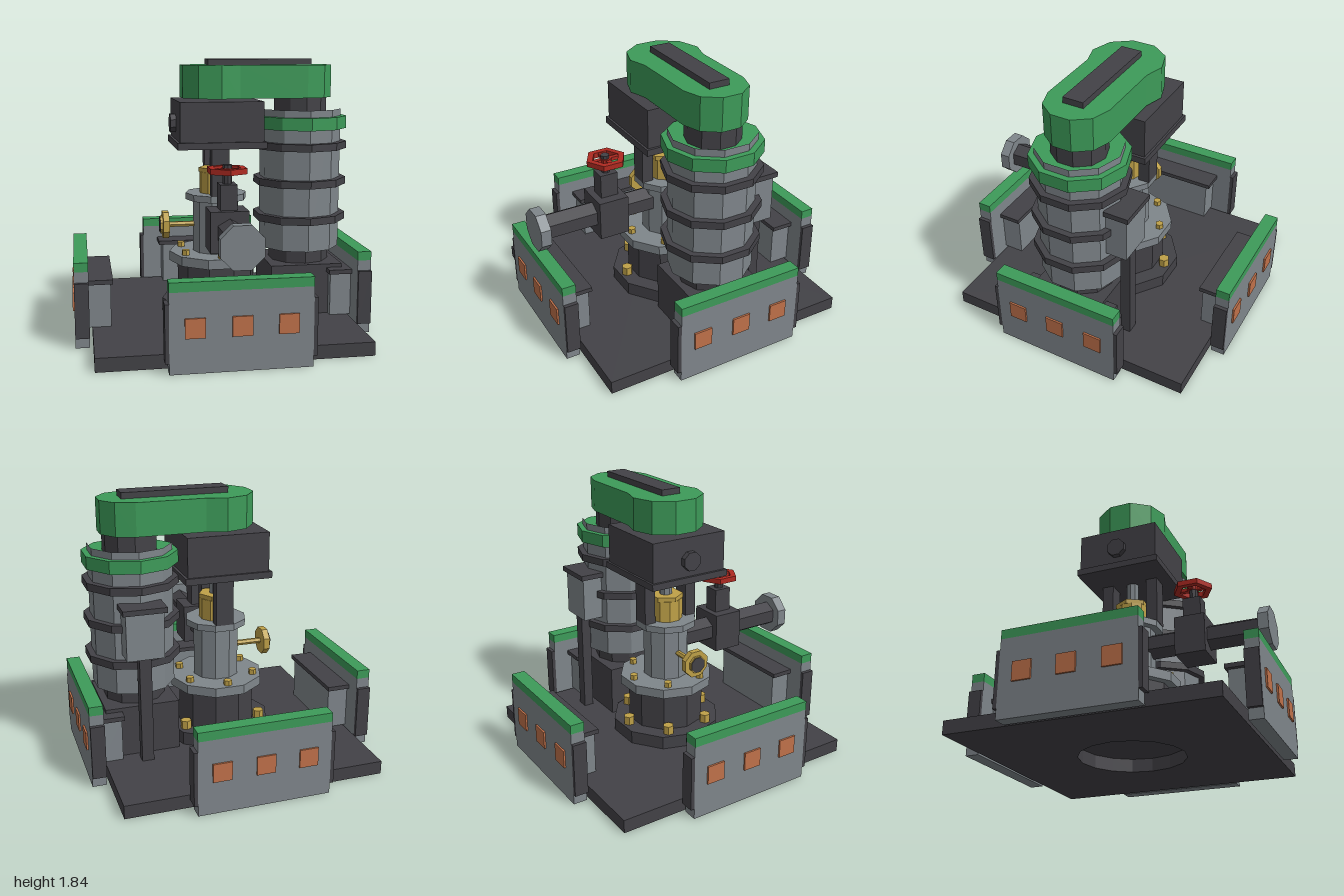
import * as THREE from 'three';

const mat = (name, color) => {
  const m = new THREE.MeshStandardMaterial({ color, flatShading: true });
  m.name = name;
  return m;
};

export function createModel() {
  const dark = mat('dark steel', 0x434247);
  const grey = mat('grey steel', 0x7f868b);
  const green = mat('green paint', 0x3d9b59);
  const brass = mat('brass', 0xbfa148);
  const red = mat('red paint', 0xae2a21);
  const orange = mat('orange panel', 0xc0714a);

  const root = new THREE.Group();
  root.name = 'pumpStation';

  const add = (parent, name, geo, material, x = 0, y = 0, z = 0) => {
    const mesh = new THREE.Mesh(geo, material);
    mesh.name = name;
    mesh.position.set(x, y, z);
    parent.add(mesh);
    return mesh;
  };
  // box given by its limits on each axis
  const box = (parent, name, material, [x0, x1], [y0, y1], [z0, z1]) =>
    add(parent, name, new THREE.BoxGeometry(x1 - x0, y1 - y0, z1 - z0), material,
      (x0 + x1) / 2, (y0 + y1) / 2, (z0 + z1) / 2);
  // upright prism from y0 to y1
  const prism = (parent, name, material, r, y0, y1, x = 0, z = 0, sides = 10, start = 0, open = false) =>
    add(parent, name, new THREE.CylinderGeometry(r, r, y1 - y0, sides, 1, open, start), material, x, (y0 + y1) / 2, z);
  // prism lying along x or z
  const lying = (parent, name, material, axis, r, a0, a1, y, sides, start = 0) => {
    const geo = new THREE.CylinderGeometry(r, r, a1 - a0, sides, 1, false, start);
    const mid = (a0 + a1) / 2;
    if (axis === 'x') geo.rotateZ(Math.PI / 2); else geo.rotateX(Math.PI / 2);
    return add(parent, name, geo, material, axis === 'x' ? mid : 0, y, axis === 'z' ? mid : 0);
  };
  const group = (name) => {
    const g = new THREE.Group();
    g.name = name;
    root.add(g);
    return g;
  };

  // Base plate with a round opening
  const plate = new THREE.Shape();
  plate.moveTo(-0.875, -0.875).lineTo(0.875, -0.875).lineTo(0.875, 0.875).lineTo(-0.875, 0.875).closePath();
  const hole = new THREE.Path();
  for (let i = 0; i <= 16; i++) {
    const a = -i * Math.PI / 8;
    hole[i ? 'lineTo' : 'moveTo'](0.358 * Math.cos(a), 0.358 * Math.sin(a));
  }
  plate.holes.push(hole);
  const plateGeo = new THREE.ExtrudeGeometry(plate, { depth: 0.09, bevelEnabled: false });
  plateGeo.rotateX(-Math.PI / 2);
  add(root, 'basePlate', plateGeo, dark);

  // Four barrier walls, each with lamps and an inner cabinet
  for (let i = 0; i < 4; i++) {
    const wall = group('barrier');
    wall.rotation.y = i * Math.PI / 2;
    box(wall, 'barrierPanel', grey, [-0.44, 0.44], [0, 0.505], [0.895, 0.988]);
    box(wall, 'barrierCap', green, [-0.44, 0.44], [0.505, 0.565], [0.895, 0.988]);
    for (const s of [-1, 1]) {
      box(wall, 'barrierEndPost', dark, [s * 0.4525 - 0.0125, s * 0.4525 + 0.0125], [0.07, 0.435], [0.895, 0.988]);
    }
    for (const x of [-0.285, 0, 0.285]) {
      box(wall, 'barrierLamp', orange, [x - 0.062, x + 0.062], [0.222, 0.345], [0.988, 1]);
    }
    box(wall, 'cabinet', grey, [-0.3, 0.3], [0.09, 0.385], [0.75, 0.895]);
    box(wall, 'cabinetLid', dark, [-0.33, 0.33], [0.385, 0.415], [0.735, 0.895]);
  }

  // Wellhead stack
  const well = group('wellhead');
  const turn = Math.PI / 2;
  prism(well, 'lowerFlange', dark, 0.38, 0.09, 0.18, 0, 0, 10, turn);
  prism(well, 'spool', dark, 0.27, 0.18, 0.45, 0, 0, 10, turn);
  prism(well, 'upperFlange', grey, 0.327, 0.45, 0.515, 0, 0, 10, turn);
  prism(well, 'column', grey, 0.16, 0.515, 0.88, 0, 0, 10, turn);
  prism(well, 'columnCap', grey, 0.212, 0.88, 0.925, 0, 0, 10, turn);
  prism(well, 'gland', brass, 0.115, 0.925, 1.07);
  prism(well, 'glandNut', brass, 0.12, 1.07, 1.1, 0, 0, 6, turn);
  prism(well, 'polishedRod', grey, 0.045, 1.1, 1.26, 0, 0, 8);
  for (let i = 0; i < 6; i++) {
    const a = i * Math.PI / 3;
    prism(well, 'lowerBolt', brass, 0.038, 0.18, 0.24, 0.31 * Math.sin(a), 0.31 * Math.cos(a), 6);
    prism(well, 'upperBolt', brass, 0.028, 0.515, 0.55, 0.265 * Math.sin(a), 0.265 * Math.cos(a), 6);
  }

  // Side gauge
  const gauge = group('gauge');
  lying(gauge, 'gaugeStem', brass, 'x', 0.02, -0.34, -0.14, 0.705, 6);
  lying(gauge, 'gaugeBody', brass, 'x', 0.097, -0.375, -0.333, 0.705, 8, Math.PI / 8);
  lying(gauge, 'gaugeRim', brass, 'x', 0.062, -0.39, -0.375, 0.705, 8, Math.PI / 8);
  lying(gauge, 'gaugeFace', dark, 'x', 0.056, -0.395, -0.39, 0.705, 8, Math.PI / 8);

  // Outlet pipe and gate valve
  const outlet = group('outlet');
  lying(outlet, 'outletPipe', dark, 'z', 0.09, 0.1, 0.92, 0.755, 6);
  lying(outlet, 'outletFlange', grey, 'z', 0.146, 0.915, 0.985, 0.755, 8, Math.PI / 8);
  box(outlet, 'valveBody', dark, [-0.125, 0.125], [0.62, 0.89], [0.35, 0.56]);
  box(outlet, 'valveBonnet', dark, [-0.055, 0.055], [0.89, 1.055], [0.39, 0.515]);
  prism(outlet, 'valveStem', dark, 0.03, 1.055, 1.178, 0, 0.453, 8);

  // Six-sided handwheel with four spokes
  const rim = new THREE.Shape();
  const rimHole = new THREE.Path();
  for (let i = 0; i <= 6; i++) {
    const a = Math.PI / 2 + i * Math.PI / 3;
    const step = i ? 'lineTo' : 'moveTo';
    rim[step](0.137 * Math.cos(a), 0.137 * Math.sin(a));
    rimHole[step](0.094 * Math.cos(a), 0.094 * Math.sin(a));
  }
  rim.holes.push(rimHole);
  const rimGeo = new THREE.ExtrudeGeometry(rim, { depth: 0.037, bevelEnabled: false });
  rimGeo.rotateX(-Math.PI / 2);
  add(outlet, 'handwheelRim', rimGeo, red, 0, 1.122, 0.448);
  for (const s of [-1, 1]) {
    add(outlet, 'handwheelSpoke', new THREE.BoxGeometry(0.085, 0.024, 0.03), red, s * 0.062, 1.14, 0.448);
    add(outlet, 'handwheelSpoke', new THREE.BoxGeometry(0.03, 0.024, 0.09), red, 0, 1.14, 0.448 + s * 0.065);
  }
  prism(outlet, 'handwheelHub', red, 0.042, 1.126, 1.155, 0, 0.448, 8);

  // Gearbox on two posts
  const gear = group('gearbox');
  for (const s of [-1, 1]) {
    box(gear, 'gearboxPost', dark, [-0.06, 0.06], [0.925, 1.26], [s * 0.165 - 0.04, s * 0.165 + 0.04]);
  }
  box(gear, 'gearboxLip', dark, [-0.298, 0.298], [1.255, 1.3], [-0.295, 0.295]);
  box(gear, 'gearboxBody', dark, [-0.28, 0.28], [1.3, 1.565], [-0.28, 0.28]);
  lying(gear, 'gearboxEndCap', dark, 'x', 0.066, -0.318, -0.28, 1.41, 8, Math.PI / 8);

  // Motor: an open shell whose top shows the band's disc around the neck
  const motor = group('motor');
  const mx = 0.595;
  box(motor, 'motorPedestal', dark, [mx - 0.25, mx + 0.25], [0.09, 0.44], [-0.25, 0.25]);
  prism(motor, 'motorFoot', dark, 0.21, 0.44, 0.535, mx);
  prism(motor, 'motorBody', grey, 0.28, 0.535, 1.5, mx, 0, 10, 0, true);
  for (const y of [0.752, 1.002, 1.252]) prism(motor, 'motorRing', dark, 0.323, y - 0.025, y + 0.025, mx);
  prism(motor, 'motorBand', green, 0.32, 1.367, 1.452, mx);
  prism(motor, 'motorNeck', dark, 0.18, 1.452, 1.58, mx);

  // Junction box with conduit behind the motor
  box(motor, 'junctionBox', grey, [0.47, 0.72], [0.82, 1.13], [-0.39, -0.245]);
  box(motor, 'junctionLid', dark, [0.45, 0.74], [1.13, 1.165], [-0.41, -0.24]);
  box(motor, 'conduit', dark, [mx - 0.04, mx + 0.04], [0.09, 0.82], [-0.37, -0.3]);

  // Belt guard: one outline joining two ten-sided ends
  const guard = group('beltGuard');
  const outline = new THREE.Shape();
  const corner = (cx, r, deg) => [cx + r * Math.cos(deg * Math.PI / 180), r * Math.sin(deg * Math.PI / 180)];
  const points = [];
  for (const d of [-90, -54, -18, 18, 54, 90]) points.push(corner(0.592, 0.212, d));
  points.push([0.13, 0.212]);
  for (const d of [90, 126, 162, 198, 234, 270]) points.push(corner(0, 0.25, d));
  points.push([0.13, -0.212]);
  points.forEach(([x, y], i) => (i ? outline.lineTo(x, y) : outline.moveTo(x, y)));
  outline.closePath();
  const guardGeo = new THREE.ExtrudeGeometry(outline, { depth: 0.22, bevelEnabled: false });
  guardGeo.rotateX(-Math.PI / 2);
  add(guard, 'guardHousing', guardGeo, green, 0, 1.58, 0);
  box(guard, 'guardStrip', dark, [-0.065, 0.652], [1.8, 1.84], [-0.07, 0.07]);

  return root;
}
